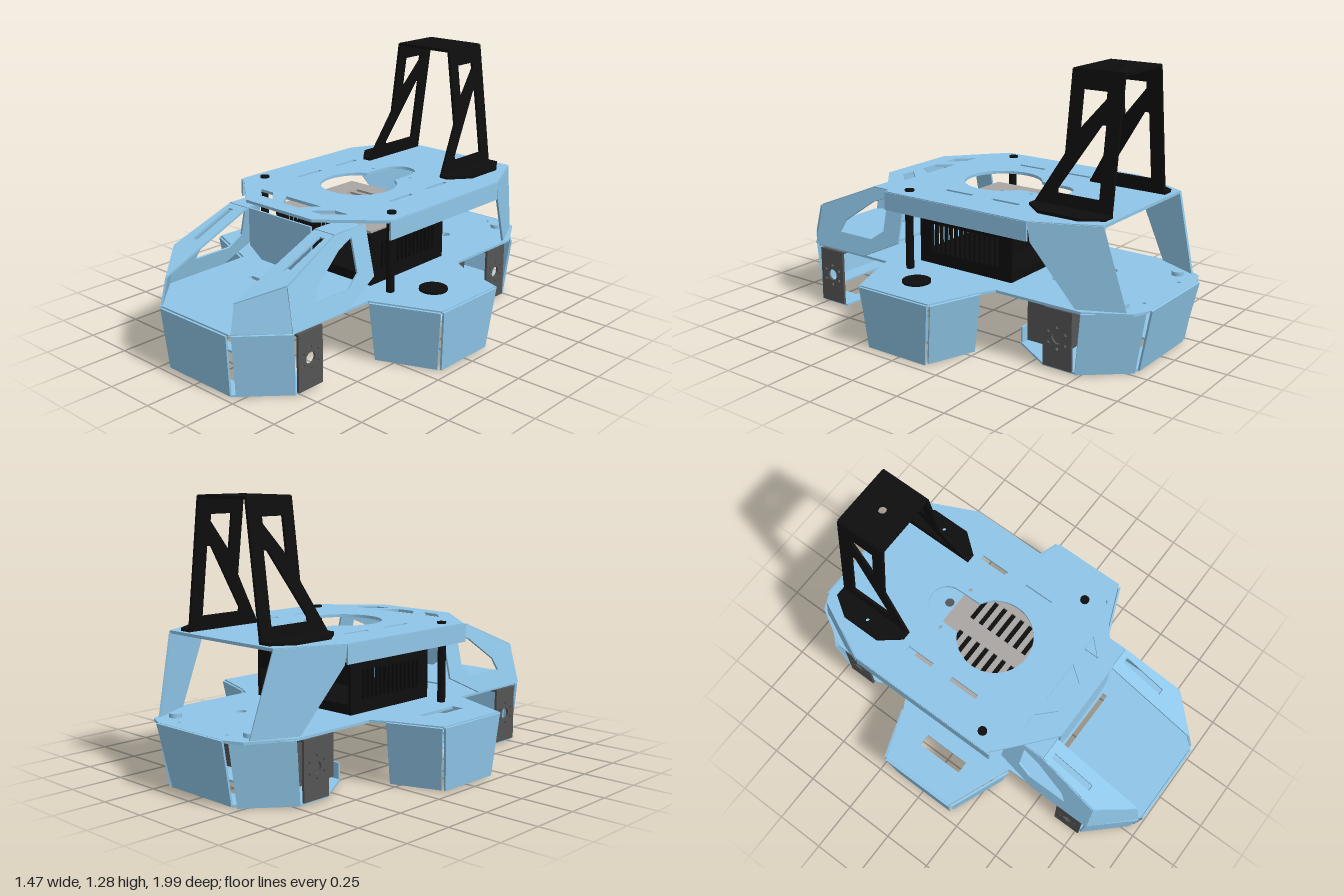
import * as THREE from 'three';

const paint = (color) => new THREE.MeshStandardMaterial({ color });
const blue = paint(0x8fc6e8), black = paint(0x0e0e0e), dark = paint(0x555555), grey = paint(0xaaa6a4);

const V = (p) => new THREE.Vector3(...p);

// Sheet of thickness t through a flat ring of 3D corners, with 3D rings as holes
function sheet(pts, holes = [], t = 0.01) {
  const o = V(pts[0]);
  const u = V(pts[1]).sub(o).normalize();
  const w = new THREE.Vector3().crossVectors(u, V(pts[2]).sub(o)).normalize();
  const v = new THREE.Vector3().crossVectors(w, u);
  const flat = (p) => { const d = V(p).sub(o); return new THREE.Vector2(d.dot(u), d.dot(v)); };
  const shape = new THREE.Shape(pts.map(flat));
  shape.holes = holes.map((h) => new THREE.Path(h.map(flat)));
  const geo = new THREE.ExtrudeGeometry(shape, { depth: t, bevelEnabled: false });
  geo.translate(0, 0, -t / 2);
  return geo.applyMatrix4(new THREE.Matrix4().makeBasis(u, v, w).setPosition(o));
}

const flip = (ring) => ring.map(([x, y, z]) => [-x, y, z]);
const level = (y, ring) => ring.map(([x, z]) => [x, y, z]);
const rect = (y, x0, x1, z0, z1) => level(y, [[x0, z0], [x1, z0], [x1, z1], [x0, z1]]);
// Outline of the +x half, front to back, completed by its mirror
const bothHalves = (y, half) => level(y, [...half, ...half.slice().reverse().map(([x, z]) => [-x, z])]);
const disc = (y, x, z, r, n = 16) => Array.from({ length: n }, (_, i) => {
  const a = i / n * Math.PI * 2;
  return [x + r * Math.cos(a), y, z + r * Math.sin(a)];
});

export function createModel() {
  const model = new THREE.Group();
  const put = (name, geo, mat) => {
    const m = new THREE.Mesh(geo, mat);
    m.name = name;
    model.add(m);
    return m;
  };
  const panel = (name, mat, pts, holes, t) => put(name, sheet(pts, holes, t), mat);
  const pair = (name, mat, pts, holes = [], t) => {
    panel(name + 'Left', mat, pts, holes, t);
    panel(name + 'Right', mat, flip(pts), holes.map(flip), t);
  };
  const box = (name, mat, w, h, d, x, y, z) =>
    put(name, new THREE.BoxGeometry(w, h, d).translate(x, y, z), mat);
  const rod = (name, mat, r, h, x, y, z) =>
    put(name, new THREE.CylinderGeometry(r, r, h, 20).translate(x, y, z), mat);

  // Base plate with fender wings and its mounting holes
  const by = 0.3;
  const baseHoles = [rect(by, -0.57, -0.51, -0.1, 0.14), rect(by, -0.19, 0.19, 0.475, 0.5)];
  for (const s of [-1, 1]) {
    for (const z of [0.58, 0.695]) baseHoles.push(disc(by, s * 0.08, z, 0.023));
    for (const z of [0.8, 0.9]) baseHoles.push(disc(by, s * 0.065, z, 0.01, 8));
    for (const z of [0.58, 0.74]) baseHoles.push(rect(by, s * 0.17 - 0.02, s * 0.17 + 0.02, z - 0.02, z + 0.03));
    for (const z of [-0.45, -0.6]) baseHoles.push(disc(by, s * 0.12, z, 0.025));
    baseHoles.push(disc(by, s * 0.16, -0.92, 0.01, 8));
  }
  panel('basePlate', blue, bothHalves(by, [[0.22, 0.985], [0.4, 0.79], [0.41, 0.33], [0.725, 0.2],
    [0.725, -0.19], [0.48, -0.28], [0.41, -0.32], [0.41, -0.76], [0.3, -0.95], [0.22, -0.985]]), baseHoles, 0.012);

  // Side fender skirts, leaning inward
  pair('fenderOuter', blue, [[0.73, 0.3, 0.2], [0.73, 0.3, -0.19], [0.705, 0.01, -0.155], [0.705, 0.01, 0.175]]);
  pair('fenderFront', blue, [[0.725, 0.3, 0.21], [0.42, 0.3, 0.335], [0.42, 0.01, 0.29], [0.69, 0.01, 0.18]]);
  pair('fenderBack', blue, [[0.725, 0.3, -0.2], [0.48, 0.3, -0.285], [0.46, 0.01, -0.235], [0.69, 0.01, -0.16]]);

  // Front and rear bumpers
  panel('frontBumper', blue, [[-0.215, 0.3, 0.992], [0.215, 0.3, 0.992], [0.2, 0.01, 0.965], [-0.2, 0.01, 0.965]]);
  panel('rearBumper', blue, [[-0.22, 0.305, -0.992], [0.22, 0.305, -0.992], [0.2, 0.01, -0.93], [-0.2, 0.01, -0.93]]);
  pair('frontCorner', blue, [[0.23, 0.3, 0.98], [0.41, 0.3, 0.79], [0.392, 0.01, 0.77], [0.215, 0.01, 0.95]]);
  pair('rearCorner', blue, [[0.235, 0.3, -0.975], [0.42, 0.3, -0.765], [0.4, 0.01, -0.73], [0.215, 0.01, -0.915]]);

  // Bottom trays with windows
  panel('frontTray', blue, bothHalves(0.01, [[0.2, 0.965], [0.39, 0.77], [0.39, 0.62]]),
    [level(0.01, [[-0.26, 0.68], [0.26, 0.68], [0.26, 0.77], [0.16, 0.87], [-0.16, 0.87], [-0.26, 0.77]])]);
  panel('rearTray', blue, bothHalves(0.01, [[0.26, -0.35], [0.39, -0.56], [0.39, -0.73], [0.2, -0.925]]),
    [rect(0.01, -0.12, 0.12, -0.82, -0.7)]);
  box('rearTrayLip', blue, 0.52, 0.08, 0.01, 0, 0.05, -0.355);
  box('battery', dark, 0.5, 0.24, 0.22, 0, 0.15, -0.49);

  // Motor brackets
  for (const z of [0.695, -0.645]) {
    const ring = (cy, cz, r, n) => disc(0, cy, cz, r, n).map(([a, , b]) => [0.405, a, b]);
    const holes = [ring(0.16, z, 0.028, 16)];
    for (let i = 0; i < 6; i++) {
      const a = i / 6 * Math.PI * 2;
      holes.push(ring(0.16 + 0.05 * Math.cos(a), z + 0.05 * Math.sin(a), 0.008, 8));
    }
    pair('motorBracket', dark, [[0.405, 0.02, z - 0.073], [0.405, 0.02, z + 0.073],
      [0.405, 0.29, z + 0.073], [0.405, 0.29, z - 0.073]], holes, 0.012);
    for (const s of [-1, 1]) box('bracketFlange', dark, 0.11, 0.01, 0.146, s * 0.35, 0.285, z);
  }

  // Front legs: windowed side, sloping slotted top, corner facet
  const side = (ring) => ring.map(([z, y]) => [0.408 - 0.23 * (y - 0.31), y, z]);
  const slope = (x, z) => [x, 0.63 - 0.417 * (z - 0.47), z];
  pair('legSide', blue, side([[0.8, 0.305], [0.785, 0.495], [0.47, 0.63], [0.27, 0.635], [0.27, 0.4], [0.47, 0.305]]),
    [side([[0.65, 0.39], [0.62, 0.45], [0.46, 0.565], [0.37, 0.6], [0.37, 0.44], [0.44, 0.39]])]);
  pair('legTop', blue, [slope(0.22, 0.47), slope(0.335, 0.47), slope(0.365, 0.785), slope(0.22, 0.95)],
    [[slope(0.28, 0.5), slope(0.31, 0.5), slope(0.31, 0.72), slope(0.28, 0.72)]]);
  pair('legCorner', blue, [[0.22, 0.43, 0.95], [0.365, 0.497, 0.785], [0.408, 0.305, 0.795], [0.22, 0.305, 0.97]]);
  pair('legShoulder', blue, rect(0.632, 0.22, 0.335, 0.3, 0.47));
  panel('frontApron', blue, [[-0.2, 0.64, 0.47], [0.2, 0.64, 0.47], [0.2, 0.46, 0.47],
    [0.12, 0.405, 0.47], [-0.12, 0.405, 0.47], [-0.2, 0.46, 0.47]]);

  // Top deck with keyhole opening, slots and slanted front vents
  const ty = 0.672;
  const arc = (cz, r, a0, a1, n) => Array.from({ length: n + 1 }, (_, i) => {
    const a = a0 + (a1 - a0) * i / n;
    return [r * Math.sin(a), cz + r * Math.cos(a)];
  });
  const keyhole = level(ty, [...arc(-0.06, 0.185, -2.63, 2.63, 32), ...arc(-0.35, 0.088, 1.57, 4.71, 14)]);
  const deckHoles = [keyhole, level(ty, [[-0.11, 0.32], [0.11, 0.32], [0.05, 0.4], [-0.05, 0.4]])];
  for (const s of [-1, 1]) {
    for (const [a, b] of [[-0.36, -0.21], [-0.1, 0.055]]) deckHoles.push(rect(ty, s * 0.295 - 0.011, s * 0.295 + 0.011, a, b));
    deckHoles.push(level(ty, [[s * 0.2, 0.32], [s * 0.28, 0.32], [s * 0.2, 0.4], [s * 0.12, 0.4]]));
    deckHoles.push(disc(ty, s * 0.12, -0.3, 0.01, 8));
  }
  panel('topDeck', blue, bothHalves(ty, [[0.21, 0.48], [0.4, 0.32], [0.48, 0.25], [0.48, -0.53], [0.34, -0.82]]), deckHoles, 0.014);
  pair('deckFlange', blue, [[0.478, 0.675, 0.265], [0.478, 0.675, -0.53], [0.478, 0.59, -0.53], [0.478, 0.59, 0.265]]);
  pair('rearStrut', blue, [[0.478, 0.675, -0.53], [0.34, 0.675, -0.82], [0.3, 0.3, -0.92], [0.42, 0.3, -0.74], [0.47, 0.59, -0.54]]);

  // Posts, screws and the round cap on the left fender
  for (const s of [-1, 1]) {
    rod('post', black, 0.019, 0.37, s * 0.41, 0.49, 0.18);
    rod('postScrew', black, 0.022, 0.012, s * 0.41, 0.682, 0.175);
    rod('rearBolt', blue, 0.028, 0.02, s * 0.25, 0.315, -0.87);
    rod('peg', grey, 0.02, 0.07, s * 0.13, 0.26, 0.1);
  }
  rod('fenderCap', black, 0.066, 0.012, 0.54, 0.311, 0.03);

  // Computer: grilled walls, tray, rear rail and slotted lid
  const grille = [];
  for (let i = 0; i < 14; i++) {
    const z = -0.25 + i * 0.0285;
    grille.push([[0.3, 0.37, z - 0.009], [0.3, 0.37, z + 0.009], [0.3, 0.505, z + 0.009], [0.3, 0.505, z - 0.009]]);
  }
  pair('computerWall', black, [[0.3, 0.31, 0.2], [0.3, 0.31, -0.33], [0.3, 0.56, -0.33], [0.3, 0.56, 0.2]], grille, 0.016);
  box('computerTray', black, 0.6, 0.045, 0.53, 0, 0.333, -0.065);
  box('computerRail', black, 0.6, 0.1, 0.012, 0, 0.495, -0.325);
  const vents = [];
  for (let i = 0; i < 7; i++) {
    const z = -0.235 + i * 0.052;
    for (const s of [-1, 1]) vents.push(rect(0.562, s * 0.11 - 0.07, s * 0.11 + 0.07, z - 0.013, z + 0.013));
  }
  panel('computerLid', grey, rect(0.562, -0.3, 0.3, -0.34, 0.19), vents, 0.014);

  // Tall rear arch: feet, windowed uprights, top bridge
  const up = (ring) => ring.map(([z, y]) => [0.235 - 0.08 * (y - 0.685) / 0.595, y, z]);
  pair('archUpright', black, up([[-0.54, 1.28], [-0.795, 1.28], [-0.795, 0.685], [-0.4, 0.685], [-0.54, 0.92]]),
    [up([[-0.6, 1.2], [-0.72, 1.2], [-0.72, 1.17], [-0.6, 1.03]]),
      up([[-0.73, 1.06], [-0.73, 0.745], [-0.515, 0.745], [-0.515, 0.765], [-0.705, 1.06]])], 0.014);
  pair('archFoot', black, level(0.686, [[0.23, -0.4], [0.275, -0.4], [0.355, -0.5], [0.355, -0.7], [0.29, -0.798], [0.23, -0.798]]),
    [disc(0.686, 0.3, -0.6, 0.01, 8)], 0.014);
  panel('archBridge', black, rect(1.278, -0.155, 0.155, -0.795, -0.54), [disc(1.278, 0, -0.67, 0.02)], 0.014);

  return model;
}
